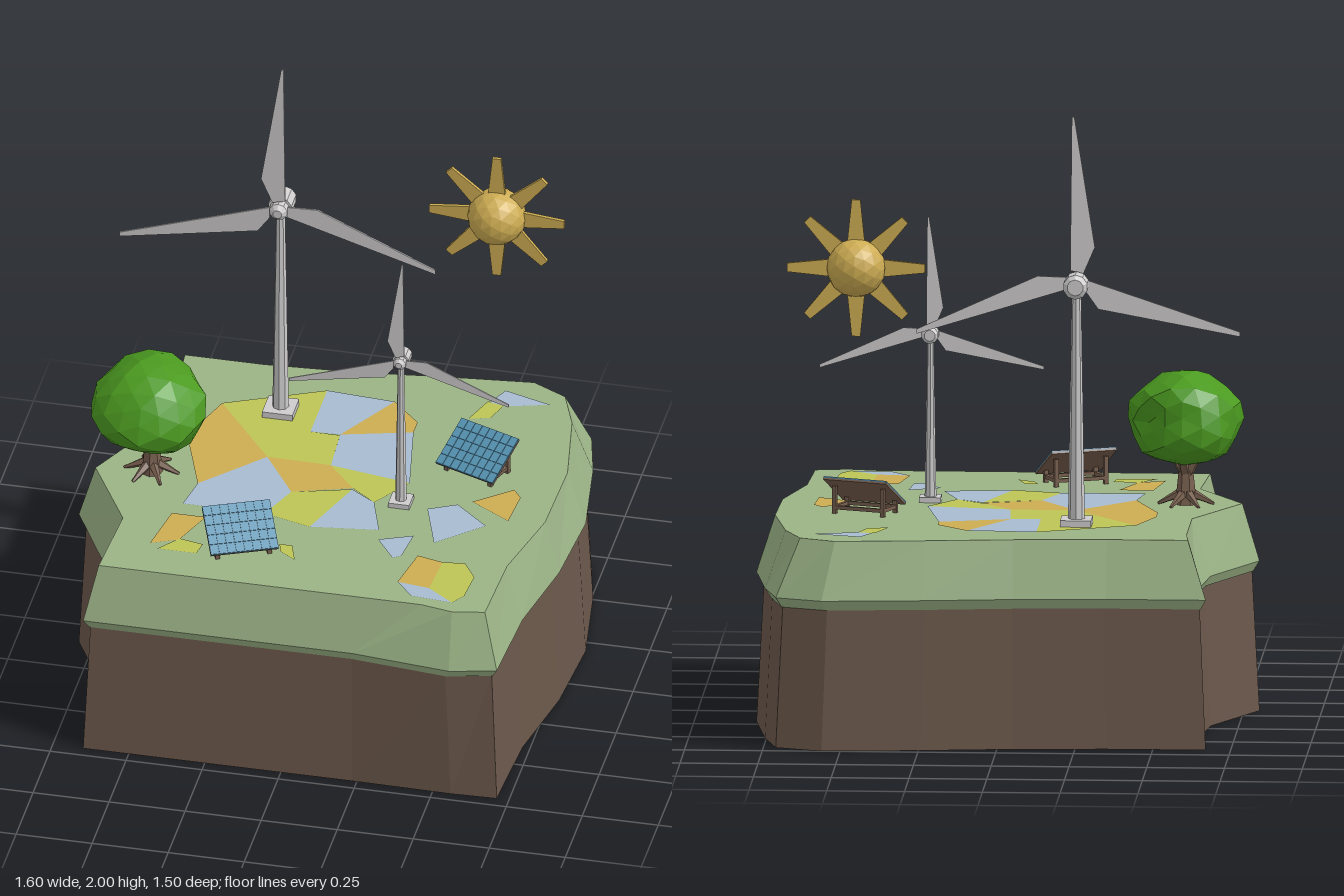
import * as THREE from 'three';

const GROUND = 0.674;

const mat = (name, color, side = THREE.FrontSide) =>
  Object.assign(new THREE.MeshStandardMaterial({ color, flatShading: true, side }), { name });

export function createModel() {
  const M = {
    grass: mat('grass', 0x9bb386),
    earth: mat('earth', 0x6b584b),
    water: mat('pale blue field', 0xa7bbd0),
    lime: mat('lime field', 0xbcc455),
    gold: mat('gold', 0xcdac52),
    metal: mat('pale metal', 0xcecccc),
    panel: mat('panel blue', 0x5592b2),
    grid: mat('panel grid', 0x41718c),
    leaf: mat('leaf green', 0x4b9a20),
    wood: mat('wood', 0x78604f),
  };
  const model = new THREE.Group();
  model.name = 'greenEnergyIsland';

  const add = (parent, name, geo, material, x = 0, y = 0, z = 0) => {
    const m = new THREE.Mesh(geo, material);
    m.name = name;
    m.position.set(x, y, z);
    parent.add(m);
    return m;
  };
  const group = (name, x, y, z) => {
    const g = new THREE.Group();
    g.name = name;
    g.position.set(x, y, z);
    model.add(g);
    return g;
  };
  const shapeOf = (pts) => new THREE.Shape(pts.map(([x, y]) => new THREE.Vector2(x, y)));
  // flat polygon lying in the ground plane, facing up
  const flat = (pts) => new THREE.ShapeGeometry(shapeOf(pts.map(([x, z]) => [x, -z]))).rotateX(-Math.PI / 2);
  // wall through rings of [x, y, z] points
  const loft = (rings) => {
    const v = [];
    for (let r = 0; r + 1 < rings.length; r++) {
      const a = rings[r], b = rings[r + 1], n = a.length;
      for (let i = 0; i < n; i++) {
        const j = (i + 1) % n;
        v.push(...a[j], ...a[i], ...b[i], ...a[j], ...b[i], ...b[j]);
      }
    }
    const g = new THREE.BufferGeometry();
    g.setAttribute('position', new THREE.Float32BufferAttribute(v, 3));
    g.computeVertexNormals();
    return g;
  };
  // tapered rod between two points
  const rod = (parent, name, a, b, r0, r1, material, sides = 6) => {
    const p = new THREE.Vector3(...a), q = new THREE.Vector3(...b), d = q.clone().sub(p);
    const m = add(parent, name, new THREE.CylinderGeometry(r1, r0, d.length(), sides), material);
    m.position.copy(p).addScaledVector(d, 0.5);
    m.quaternion.setFromUnitVectors(new THREE.Vector3(0, 1, 0), d.normalize());
    return m;
  };

  // island: outer outline and bevelled top outline, as [x, z]
  const outer = [[-.67, -.66], [-.35, -.66], [-.05, -.68], [.24, -.72], [.56, -.75], [.71, -.69], [.755, -.51], [.8, -.2], [.78, .1],
    [.725, .4], [.71, .71], [.56, .745], [.235, .71], [-.2, .71], [-.65, .71], [-.64, .4], [-.8, .1], [-.66, -.2], [-.63, -.5]];
  const inner = [[-.61, -.61], [-.35, -.61], [-.05, -.63], [.23, -.665], [.52, -.695], [.635, -.635], [.69, -.49], [.74, -.2], [.733, .1],
    [.67, .38], [.66, .66], [.555, .68], [.45, .66], [-.2, .66], [-.61, .66], [-.595, .37], [-.745, .1], [-.6, -.2], [-.6, -.5]];
  const ring = (pts, y, s = 1) => pts.map(([x, z]) => [x * s, y, z * s]);
  const base = outer.map(([x, z]) => [x, Math.min(z, 0.715)]);
  add(model, 'earthBlock', loft([ring(base, 0), ring(outer, 0.46, 0.97)]), M.earth);
  add(model, 'earthBottom', new THREE.ShapeGeometry(shapeOf(base)).rotateX(Math.PI / 2), M.earth);
  add(model, 'grassRim', loft([ring(outer, 0.455, 0.96), ring(outer, 0.455, 0.975), ring(outer, 0.488), ring(inner, GROUND)]), M.grass);
  add(model, 'grassTop', flat(inner), M.grass, 0, GROUND, 0);

  // patchwork fields, as [x, z] corners
  const fields = {
    lime: [
      [[-.43, -.355], [-.117, -.5], [-.117, -.252], [-.02, -.252], [-.01, -.073], [-.22, -.077]],
      [[-.01, -.073], [.26, -.026], [.173, .11], [.088, .043]],
      [[-.1, .107], [.088, .05], [.002, .295], [-.156, .25]],
      [[.464, .406], [.536, .397], [.583, .47], [.575, .585], [.545, .632], [.455, .564]],
      [[-.39, .453], [-.31, .47], [-.318, .526], [-.447, .526]],
      [[-.07, .415], [-.028, .415], [-.002, .496], [-.058, .457]],
      [[.4, -.55], [.455, -.534], [.43, -.457], [.361, -.436]],
    ],
    water: [
      [[-.117, -.5], [.109, -.483], [-.02, -.256], [-.117, -.252]],
      [[-.02, -.256], [.207, -.32], [.26, -.026], [-.01, -.073]],
      [[-.22, -.077], [-.1, .107], [-.156, .25], [-.425, .25], [-.404, .124]],
      [[.088, .05], [.173, .11], [.224, .265], [.002, .295]],
      [[.348, .11], [.438, .064], [.553, .167], [.412, .3]],
      [[.233, .32], [.34, .274], [.327, .397], [.301, .415]],
      [[.348, .55], [.455, .564], [.545, .632], [.408, .62]],
      [[.442, -.624], [.6, -.573], [.45, -.53], [.408, -.547]],
    ],
    gold: [
      [[.109, -.483], [.207, -.38], [.207, -.32], [-.02, -.256]],
      [[-.43, -.355], [-.22, -.077], [-.404, .124], [-.485, -.107], [-.485, -.19]],
      [[-.22, -.077], [-.01, -.073], [.088, .043], [-.1, .107]],
      [[.48, .038], [.596, -.06], [.626, -.02], [.617, .124]],
      [[.378, .385], [.464, .406], [.455, .564], [.348, .55]],
      [[-.447, .312], [-.335, .312], [-.39, .46], [-.477, .5]],
    ],
  };
  for (const [key, list] of Object.entries(fields))
    list.forEach((pts) => add(model, key + 'Field', flat(pts), M[key], 0, GROUND + 0.003, 0));

  // wind turbines
  const blades = [
    [[-.021, .03], [.021, .04], [.016, .54], [.008, .54], [-.058, .116]],
    [[-.03, .01], [-.524, -.155], [-.524, -.17], [-.069, -.085], [-.03, -.03]],
    [[.027, -.02], [.515, -.17], [.515, -.155], [.127, .021], [.03, .018]],
  ];
  const turbine = (name, x, z, s) => {
    const t = group(name, x, GROUND, z);
    t.scale.setScalar(s);
    add(t, 'foot', new THREE.BoxGeometry(0.1, 0.024, 0.1), M.metal, 0, 0.012, 0);
    add(t, 'tower', new THREE.CylinderGeometry(0.015, 0.027, 0.75, 8), M.metal, 0, 0.395, 0);
    const along = (r0, r1, len) => new THREE.CylinderGeometry(r1, r0, len, 10).rotateX(Math.PI / 2);
    add(t, 'nacelle', along(0.04, 0.04, 0.07), M.metal, 0, 0.786, -0.025);
    add(t, 'nacelleTail', along(0.026, 0.04, 0.012), M.metal, 0, 0.786, -0.066);
    add(t, 'hub', along(0.032, 0.03, 0.025), M.metal, 0, 0.786, 0.0225);
    add(t, 'hubNose', along(0.03, 0.015, 0.015), M.metal, 0, 0.786, 0.0425);
    blades.forEach((pts) => add(t, 'blade',
      new THREE.ExtrudeGeometry(shapeOf(pts), { depth: 0.006, bevelEnabled: false }), M.metal, 0, 0.786, 0.023));
  };
  turbine('largeTurbine', -0.237, -0.35, 1);
  turbine('smallTurbine', 0.257, 0.09, 0.695);

  // sun with eight tapered rays
  const sun = group('sun', 0.47, 1.51, -0.37);
  add(sun, 'sunBall', new THREE.IcosahedronGeometry(0.095, 2), M.gold);
  const raySide = [[-.028, .085], [.028, .085], [.014, .222], [-.014, .222]];
  for (let i = 0; i < 8; i++) {
    const ray = add(sun, 'ray', new THREE.ExtrudeGeometry(shapeOf(raySide), { depth: 0.012, bevelEnabled: false })
      .translate(0, 0, -0.006), M.gold);
    ray.rotation.z = i * Math.PI / 4;
  }

  // tree: lumpy crown, dented towards back left
  const tree = group('tree', -0.565, GROUND, 0.08);
  const crown = new THREE.IcosahedronGeometry(1, 2), pos = crown.attributes.position, p = new THREE.Vector3();
  for (let i = 0; i < pos.count; i++) {
    p.fromBufferAttribute(pos, i);
    const dent = 0.3 * Math.max(0, p.x * 0.69 - p.z * 0.72) ** 6;
    const lump = 1 + 0.05 * Math.sin(5 * p.x + 2) * Math.cos(4 * p.z + 1) + 0.05 * Math.sin(6 * p.y + 3 * p.z) - dent;
    p.multiplyScalar(lump);
    if (p.y < -0.6) p.y = -0.6 + (p.y + 0.6) * 0.7;
    pos.setXYZ(i, p.x * 0.187, p.y * 0.162, p.z * 0.195);
  }
  add(tree, 'crown', crown, M.leaf, 0.005, 0.272, 0.025);
  rod(tree, 'trunk', [0, 0, 0], [0, 0.11, 0], 0.036, 0.024, M.wood, 7);
  for (let i = 0; i < 4; i++) {
    const a = i * Math.PI / 2 + 0.3, c = Math.cos(a), s = Math.sin(a);
    rod(tree, 'branch', [0, 0.09, 0], [c * 0.06, 0.2, s * 0.06], 0.02, 0.012, M.wood, 5);
  }
  for (let i = 0; i < 6; i++) {
    const a = i * Math.PI / 3, c = Math.cos(a), s = Math.sin(a);
    rod(tree, 'root', [c * 0.01, 0.04, s * 0.01], [c * 0.09, 0.002, s * 0.09], 0.018, 0.005, M.wood, 5);
  }

  // solar panels: tilted tray of cells on a wooden frame
  const solar = (name, x, z, yaw) => {
    const g = group(name, x, GROUND, z);
    g.rotation.y = yaw;
    const tray = new THREE.Group();
    tray.name = 'tray';
    tray.position.y = 0.074;
    tray.rotation.x = 0.54;
    g.add(tray);
    add(tray, 'backPlate', new THREE.BoxGeometry(0.222, 0.006, 0.175), M.wood, 0, -0.003, 0);
    add(tray, 'gridPlate', new THREE.BoxGeometry(0.222, 0.003, 0.175), M.grid, 0, 0.0015, 0);
    const cols = 8, rows = 5, w = 0.222 / cols, d = 0.175 / rows;
    for (let i = 0; i < cols; i++) for (let j = 0; j < rows; j++)
      add(tray, 'cell', new THREE.BoxGeometry(w - 0.0015, 0.003, d - 0.0015), M.panel,
        (i - (cols - 1) / 2) * w, 0.004, (j - (rows - 1) / 2) * d);
    for (const sx of [-0.085, 0.085]) {
      add(g, 'backLeg', new THREE.BoxGeometry(0.014, 0.09, 0.014), M.wood, sx, 0.045, -0.045);
      add(g, 'frontLeg', new THREE.BoxGeometry(0.014, 0.04, 0.014), M.wood, sx, 0.02, 0.05);
      add(g, 'sideRail', new THREE.BoxGeometry(0.012, 0.012, 0.1), M.wood, sx, 0.02, 0);
    }
    for (const sz of [-0.045, 0.05])
      add(g, 'crossRail', new THREE.BoxGeometry(0.18, 0.012, 0.012), M.wood, 0, 0.02, sz);
  };
  solar('frontSolarPanel', -0.19, 0.455, 0.413);
  solar('backSolarPanel', 0.455, -0.15, -0.377);

  return model;
}
